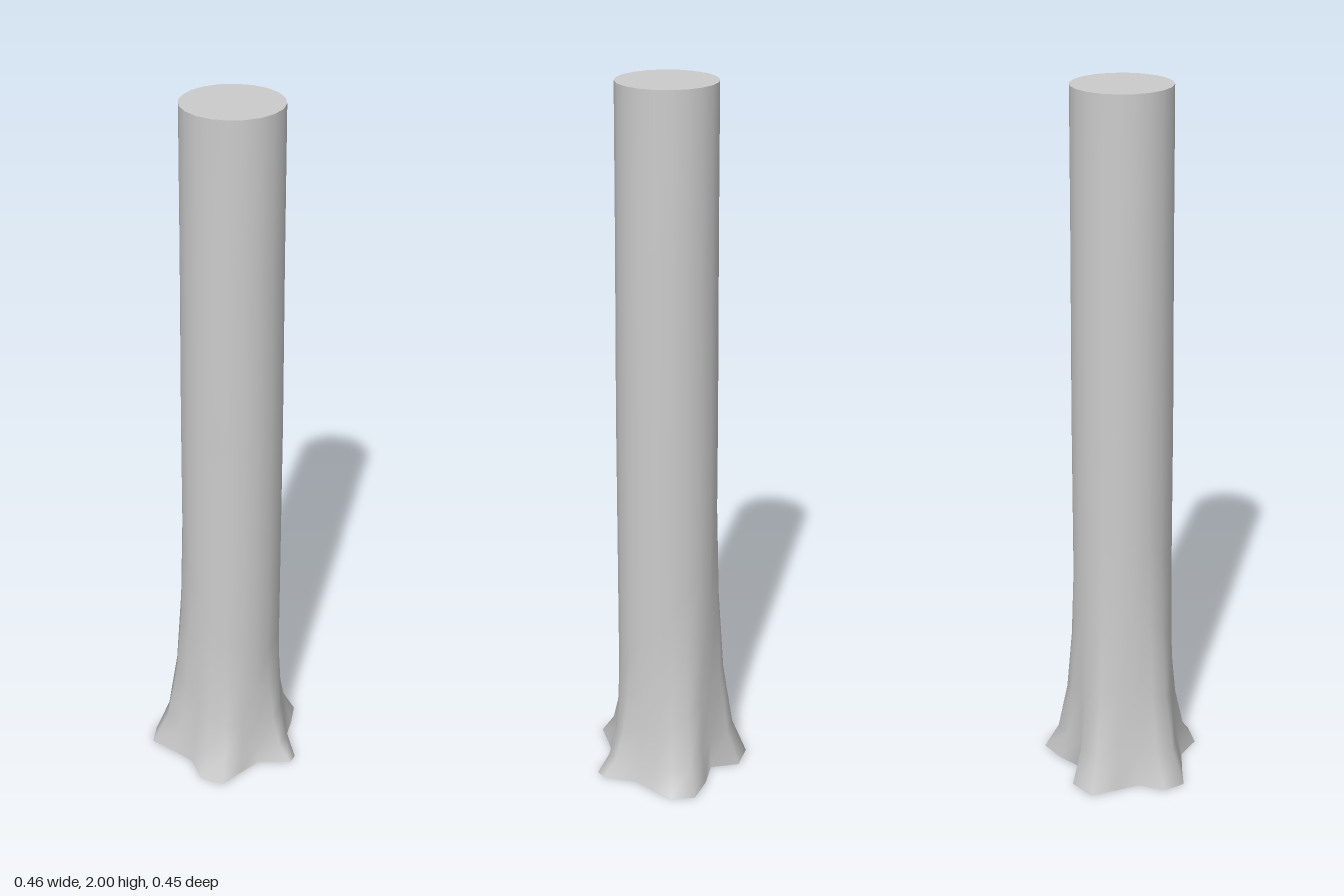
import * as THREE from 'three';

const SIDES = 20, CX = 0.012;

// Outline of the root flare on the ground, as x, z pairs
const ROOTS = [
  [-0.06, -0.225], [0.017, -0.218], [0.052, -0.142], [0.13, -0.143], [0.21, -0.128],
  [0.228, -0.063], [0.202, 0], [0.173, 0.055], [0.173, 0.152], [0.152, 0.175],
  [0.06, 0.152], [0, 0.185], [-0.065, 0.222], [-0.123, 0.18], [-0.133, 0.103],
  [-0.18, 0.045], [-0.23, -0.01], [-0.207, -0.07], [-0.133, -0.1], [-0.1, -0.16],
];

// Rings up the trunk: height, round radius, share of the root outline
const RINGS = [
  [0, 0.14, 1], [0.08, 0.14, 0.55], [0.22, 0.14, 0.25], [0.4, 0.14, 0.08],
  [0.6, 0.14, 0], [1.1, 0.139, 0], [1.6, 0.135, 0], [2, 0.133, 0],
];

function ringPoints([y, radius, share]) {
  return ROOTS.map(([rx, rz], i) => {
    const a = ((i - 6) / SIDES) * Math.PI * 2;
    const x = CX + radius * Math.cos(a), z = radius * Math.sin(a);
    // The roots climb higher at the back and right side
    const climb = y <= 0.6 ? 1 - 0.2 * Math.cos(a) - 0.3 * Math.sin(a) : 1;
    return new THREE.Vector3(x + (rx - x) * share, y * climb, z + (rz - z) * share);
  });
}

// Flat lid following a ring, facing up (+1) or down (-1)
function lid(points, facing) {
  const shape = new THREE.Shape(points.map((p) => new THREE.Vector2(p.x, -facing * p.z)));
  return new THREE.ShapeGeometry(shape)
    .rotateX((-facing * Math.PI) / 2)
    .translate(0, points[0].y, 0);
}

export function createModel() {
  const group = new THREE.Group();
  group.name = 'treeTrunk';
  const material = new THREE.MeshStandardMaterial({ color: 0xcccccc });
  const add = (name, geometry) => {
    const mesh = new THREE.Mesh(geometry, material);
    mesh.name = name;
    group.add(mesh);
  };

  // Smooth bark skin, joined all the way round
  const rings = RINGS.map(ringPoints);
  const index = [];
  for (let j = 0; j < rings.length - 1; j++) {
    for (let i = 0; i < SIDES; i++) {
      const a = j * SIDES + i, b = j * SIDES + ((i + 1) % SIDES);
      index.push(a, a + SIDES, b, b, a + SIDES, b + SIDES);
    }
  }
  const bark = new THREE.BufferGeometry().setFromPoints(rings.flat());
  bark.setIndex(index);
  bark.computeVertexNormals();
  add('bark', bark);

  // Cut top and flat underside
  add('cutTop', lid(rings[rings.length - 1], 1));
  add('underside', lid(rings[0], -1));
  return group;
}
